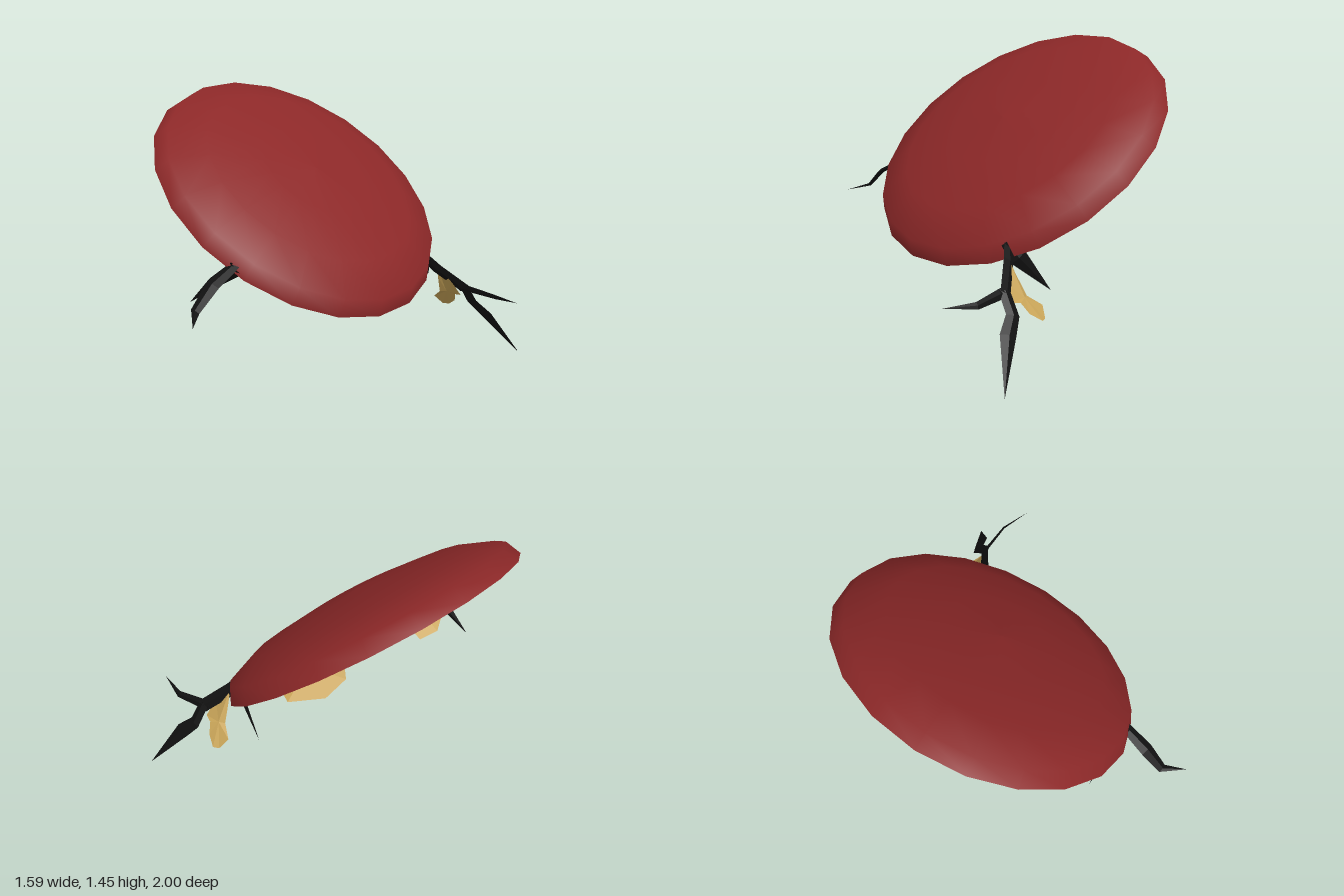
import * as THREE from 'three';

const red = new THREE.MeshStandardMaterial({ color: 0x8c2828, side: THREE.DoubleSide });
red.name = 'dark red';
const gold = new THREE.MeshStandardMaterial({ color: 0xc8a458, side: THREE.DoubleSide, flatShading: true });
gold.name = 'gold';
const black = new THREE.MeshStandardMaterial({ color: 0x111111, side: THREE.DoubleSide, flatShading: true });
black.name = 'black';

const V = (p) => new THREE.Vector3(p[0], p[1], p[2]);

function addMesh(parent, name, geometry, material) {
  const mesh = new THREE.Mesh(geometry, material);
  mesh.name = name;
  parent.add(mesh);
  return mesh;
}

function facets(corners) {
  const g = new THREE.BufferGeometry().setFromPoints(corners);
  g.computeVertexNormals();
  return g;
}

// Thin plate: a fan of triangles around the middle of its outline
function plate(outline) {
  const pts = outline.map(V);
  const mid = new THREE.Vector3();
  pts.forEach((p) => mid.addScaledVector(p, 1 / pts.length));
  const corners = [];
  pts.forEach((p, i) => corners.push(mid, p, pts[(i + 1) % pts.length]));
  return facets(corners);
}

// Jagged branch: diamond cross-sections along a path of [x, y, z, half width]
function branch(path, widthDir) {
  const pts = path.map(V);
  const w = V(widthDir).normalize();
  const rings = pts.map((p, i) => {
    const along = pts[Math.min(i + 1, pts.length - 1)].clone().sub(pts[Math.max(i - 1, 0)]);
    const t = along.cross(w).normalize();
    const h = path[i][3];
    return [[w, h], [t, h * 0.3], [w, -h], [t, -h * 0.3]].map(([d, s]) => p.clone().addScaledVector(d, s));
  });
  const corners = [];
  for (let i = 0; i < rings.length - 1; i++) {
    for (let k = 0; k < 4; k++) {
      const n = (k + 1) % 4;
      const [a, b, c, d] = [rings[i][k], rings[i][n], rings[i + 1][n], rings[i + 1][k]];
      corners.push(a, b, c, a, c, d);
    }
  }
  return facets(corners);
}

export function createModel() {
  const model = new THREE.Group();
  model.name = 'tiltedShell';

  // Open shallow dome, tilted down towards +x
  const profile = [[0.83, 0], [0.79, 0.085], [0.6, 0.16], [0.3, 0.2], [0, 0.215]]
    .map(([r, y]) => new THREE.Vector2(r, y));
  const shell = addMesh(model, 'shell', new THREE.LatheGeometry(profile, 20), red);
  const normal = new THREE.Vector3(0.6, 0.79, -0.1).normalize();
  const across = new THREE.Vector3(0.045, 0.07, 0.82).normalize();
  const slope = normal.clone().cross(across).normalize();
  across.crossVectors(slope, normal);
  shell.quaternion.setFromRotationMatrix(new THREE.Matrix4().makeBasis(slope, normal, across));
  shell.position.set(-0.14, 0.91, -0.03);

  // Gold plates hanging from the underside
  const plates = {
    backLobe: [[0.22, 0.29, -0.73], [0.24, 0.24, -0.78], [0.27, 0.24, -0.8], [0.33, 0.28, -0.78],
      [0.36, 0.33, -0.75], [0.41, 0.34, -0.74], [0.4, 0.42, -0.68], [0.34, 0.51, -0.62],
      [0.32, 0.44, -0.65], [0.29, 0.34, -0.7]],
    middleLobe: [[0.09, 0.8, -0.11], [0.03, 0.7, -0.1], [-0.06, 0.58, -0.15], [-0.05, 0.51, -0.28],
      [0.07, 0.49, -0.44], [0.24, 0.55, -0.41], [0.32, 0.6, -0.4], [0.3, 0.7, -0.27]],
    frontLobe: [[0.17, 0.78, 0.36], [0.05, 0.69, 0.34], [-0.07, 0.61, 0.36], [-0.09, 0.63, 0.47],
      [-0.03, 0.68, 0.56], [0.13, 0.81, 0.6]],
  };
  for (const [name, outline] of Object.entries(plates)) addMesh(model, name, plate(outline), gold);

  // Forked black branches at the back
  const back = new THREE.Group();
  back.name = 'backBranches';
  addMesh(back, 'backTrunk', branch([[0.3, 0.57, -0.56, 0.03], [0.34, 0.5, -0.62, 0.035],
    [0.44, 0.385, -0.74, 0.035]], [0.77, 0.64, 0]), black);
  addMesh(back, 'backLowTwig', branch([[0.44, 0.4, -0.73, 0.035], [0.44, 0.3, -0.8, 0.037],
    [0.5, 0.23, -0.85, 0.045], [0.62, 0.005, -1, 0]], [0.9, 0.3, 0.1]), black);
  addMesh(back, 'backSideTwig', branch([[0.41, 0.39, -0.72, 0.03], [0.47, 0.39, -0.74, 0.026],
    [0.62, 0.375, -0.78, 0.018], [0.79, 0.388, -0.76, 0]], [0, 0.85, 0.5]), black);
  addMesh(back, 'backSpike', branch([[0.32, 0.58, -0.57, 0.03], [0.27, 0.5, -0.6, 0.045],
    [0.09, 0.31, -0.62, 0]], [0.7, -0.6, 0.2]), black);
  model.add(back);

  // Forked black branches at the front
  const front = new THREE.Group();
  front.name = 'frontBranches';
  addMesh(front, 'frontTwig', branch([[0.23, 0.745, 0.65, 0.03], [0.25, 0.675, 0.8, 0.04],
    [0.27, 0.575, 0.915, 0.027], [0.375, 0.54, 1, 0]], [0.95, -0.2, -0.2]), black);
  addMesh(front, 'frontSpike', branch([[0.25, 0.73, 0.66, 0.04], [0.08, 0.62, 0.68, 0.028],
    [-0.07, 0.49, 0.72, 0]], [-0.5, 0.7, 0.4]), black);
  model.add(front);

  return model;
}
